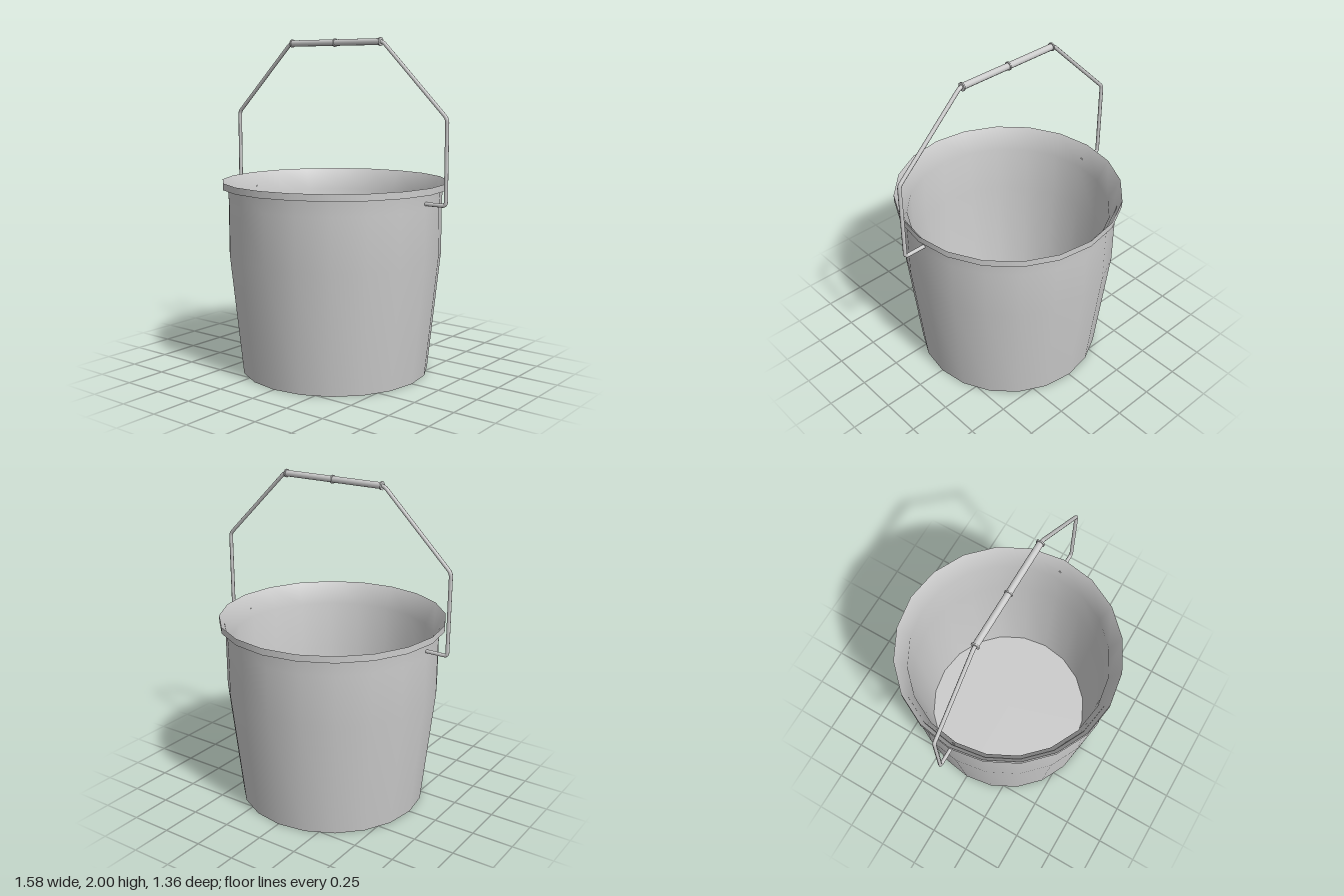
import * as THREE from 'three';

const SIDES = 20;
const GRIP_Y = 1.975;

export function createModel() {
  const model = new THREE.Group();
  const grey = new THREE.MeshStandardMaterial({ color: 0xcccccc });

  function add(parent, name, geometry) {
    const mesh = new THREE.Mesh(geometry, grey);
    mesh.name = name;
    parent.add(mesh);
    return mesh;
  }

  // Bucket: one closed profile, split into smooth bands at its sharp edges
  const bucket = new THREE.Group();
  bucket.name = 'bucket';
  model.add(bucket);
  const bands = {
    base: [[0, 0], [0.57, 0]],
    outerWall: [[0.57, 0], [0.645, 0.72], [0.645, 1.03], [0.65, 1.12]],
    rimUnderside: [[0.65, 1.12], [0.68, 1.12]],
    rimEdge: [[0.68, 1.12], [0.68, 1.16]],
    innerWall: [[0.68, 1.16], [0.61, 1.03], [0.61, 0.72], [0.525, 0.04]],
    floor: [[0.525, 0.04], [0, 0.04]],
  };
  for (const [name, profile] of Object.entries(bands)) {
    const points = profile.map(([r, y]) => new THREE.Vector2(r, y));
    add(bucket, name, new THREE.LatheGeometry(points, SIDES));
  }

  // Handle: bent wire with small rounded corners, ends set into the wall
  const handle = new THREE.Group();
  handle.name = 'handle';
  model.add(handle);
  const half = [[0.63, 1.068], [0.778, 1.068], [0.778, 1.55], [0.345, GRIP_Y]];
  const corners = [
    ...half.map(([x, y]) => new THREE.Vector3(-x, y, 0)),
    ...half.map(([x, y]) => new THREE.Vector3(x, y, 0)).reverse(),
  ];
  const path = new THREE.CurvePath();
  let from = corners[0];
  for (let i = 1; i < corners.length - 1; i++) {
    const corner = corners[i];
    const toward = (p) => corner.clone().add(p.clone().sub(corner).setLength(0.02));
    const start = toward(corners[i - 1]);
    const end = toward(corners[i + 1]);
    path.add(new THREE.LineCurve3(from, start));
    path.add(new THREE.QuadraticBezierCurve3(start, corner, end));
    from = end;
  }
  path.add(new THREE.LineCurve3(from, corners[corners.length - 1]));
  add(handle, 'wire', new THREE.TubeGeometry(path, 320, 0.0115, 8, false));

  // Grip: tube around the wire with a collar at each end and in the middle
  function gripPart(name, radius, length, x) {
    const mesh = add(handle, name, new THREE.CylinderGeometry(radius, radius, length, 12));
    mesh.rotation.z = Math.PI / 2;
    mesh.position.set(x, GRIP_Y, 0);
  }
  gripPart('grip', 0.019, 0.66, 0);
  for (const x of [-0.329, 0, 0.329]) gripPart('gripCollar', 0.025, 0.008, x);

  return model;
}
